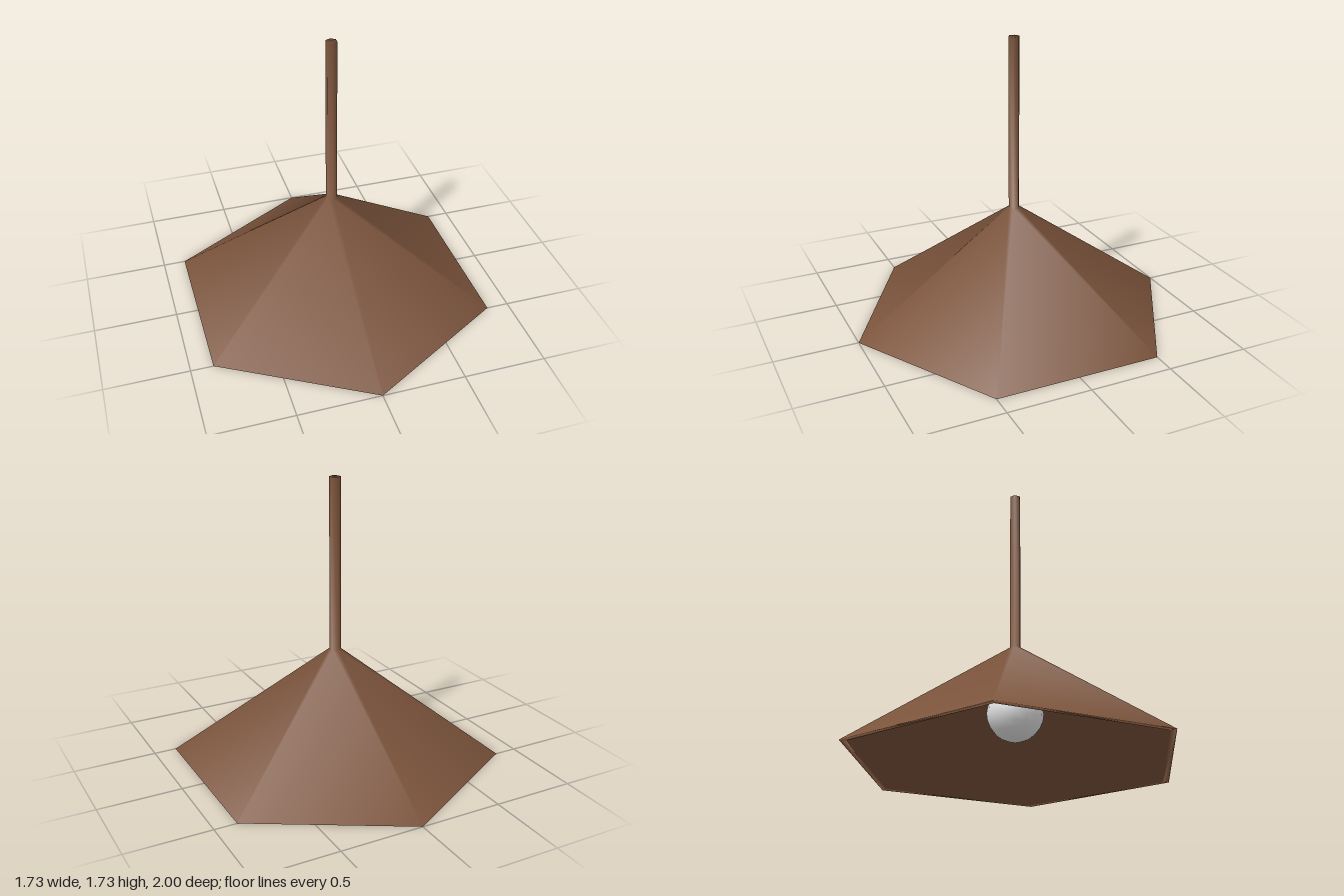
import * as THREE from 'three';

export function createModel() {
  const brown = new THREE.MeshStandardMaterial({ color: 0x7c543c, side: THREE.DoubleSide });
  brown.name = 'brown';
  const white = new THREE.MeshStandardMaterial({ color: 0xf4f4f4 });
  white.name = 'bulb white';

  const model = new THREE.Group();
  model.name = 'pendantLamp';

  // Six-sided shade and rod in one smooth piece
  const profile = [
    [0, 0.5],        // inner peak, just above the bulb
    [0.96, 0],       // inner edge of rim
    [1, 0],          // outer edge of rim
    [0.034, 0.69],   // shade meets rod
    [0.034, 1.725],  // rod top
    [0, 1.725],
  ].map(([r, y]) => new THREE.Vector2(r, y));
  const shade = new THREE.Mesh(new THREE.LatheGeometry(profile, 6), brown);
  shade.name = 'shadeAndRod';
  model.add(shade);

  // Bulb under the shade
  const bulb = new THREE.Mesh(new THREE.SphereGeometry(0.163, 16, 12), white);
  bulb.name = 'bulb';
  bulb.position.y = 0.285;
  model.add(bulb);

  return model;
}
